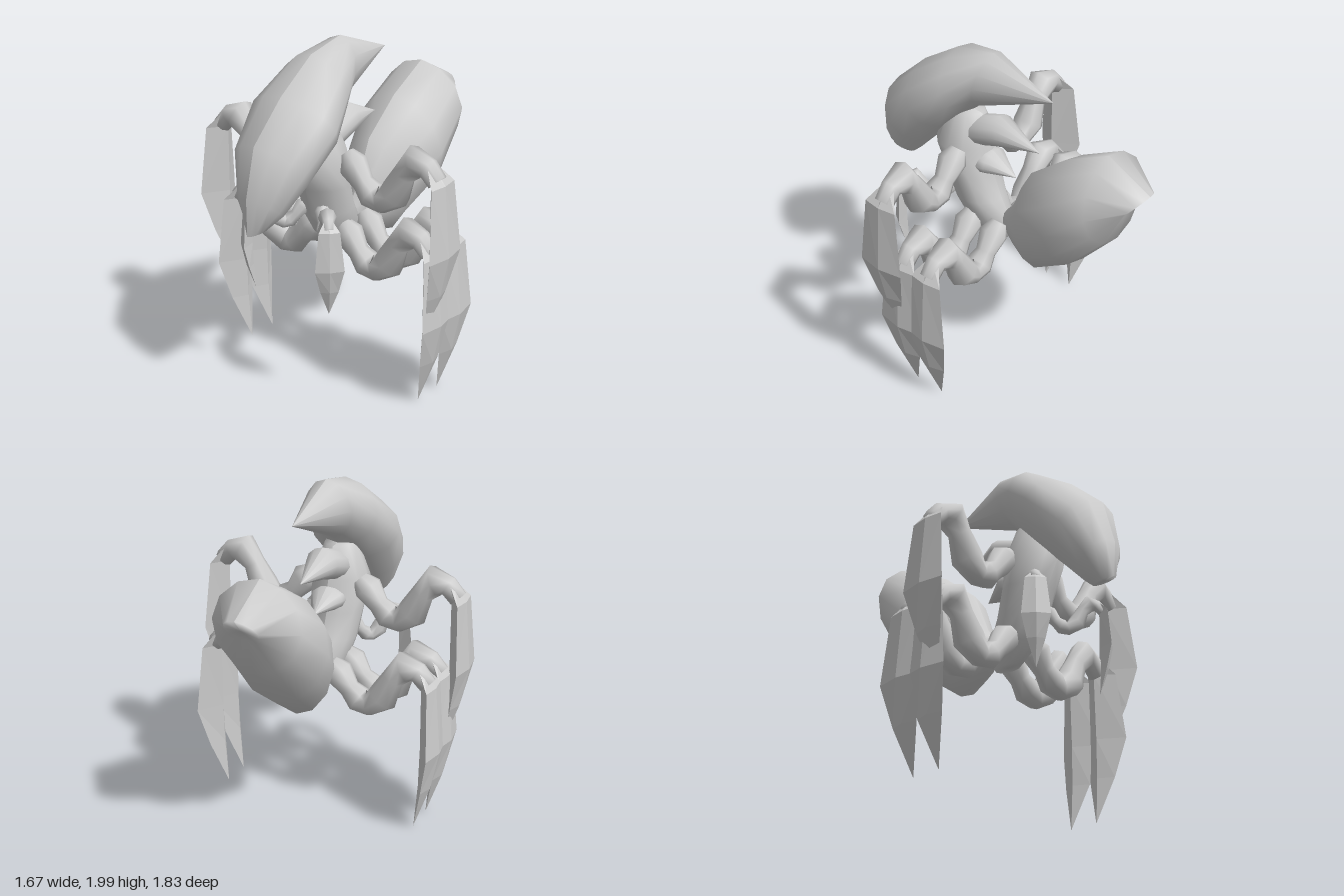
import * as THREE from 'three';

const material = new THREE.MeshStandardMaterial({ color: 0xcccccc, side: THREE.DoubleSide });

// Skin a list of equal-length point rings; faces are turned outward by signed volume.
function skin(rings, closed, flat = false, transform = null) {
  const n = rings[0].length, pts = rings.flat().map(p => p.clone());
  if (transform) pts.forEach(p => p.applyMatrix4(transform));
  const index = [];
  for (let i = 0; i < rings.length - 1; i++) {
    for (let j = 0; j < (closed ? n : n - 1); j++) {
      const a = i * n + j, b = i * n + (j + 1) % n;
      index.push(a, b, b + n, a, b + n, a + n);
    }
  }
  let volume = 0;
  const origin = new THREE.Vector3(0, pts[0].y, pts[0].z);
  const rel = pts.map(p => p.clone().sub(origin));
  for (let k = 0; k < index.length; k += 3) {
    volume += rel[index[k]].dot(rel[index[k + 1]].clone().cross(rel[index[k + 2]]));
  }
  if (volume < 0) index.reverse();
  let geo = new THREE.BufferGeometry().setFromPoints(pts);
  geo.setIndex(index);
  if (flat) geo = geo.toNonIndexed();
  geo.computeVertexNormals();
  return geo;
}

const collapse = ring => {
  const c = ring.reduce((s, p) => s.add(p), new THREE.Vector3()).divideScalar(ring.length);
  return ring.map(() => c.clone());
};

function addMesh(parent, name, geometry) {
  const mesh = new THREE.Mesh(geometry, material);
  mesh.name = name;
  parent.add(mesh);
}

// Body shell from [topZ, topY, bottomZ, bottomY, halfWidth]; two halves keep the centre ridge sharp.
function shell(parent, name, stations) {
  const group = new THREE.Group();
  group.name = name;
  for (const side of [1, -1]) {
    const rings = stations.map(([tz, ty, bz, by, w]) => {
      const ring = [];
      for (let j = 0; j <= 6; j++) {
        const a = j * Math.PI / 6, t = (1 - Math.cos(a)) / 2;
        const x = j % 6 ? side * w * Math.sin(a) ** 1.1 : 0;
        ring.push(new THREE.Vector3(x, ty + (by - ty) * t, tz + (bz - tz) * t));
      }
      return ring;
    });
    const end = r => {
      const c = r[0].clone().lerp(r[6], 0.5);
      return r.map(() => c.clone());
    };
    rings.unshift(end(rings[0]));
    rings.push(end(rings[rings.length - 1]));
    addMesh(group, name + (side > 0 ? 'Left' : 'Right'), skin(rings, false));
  }
  parent.add(group);
}

// Knobbly limb: [x, y, radius]
const LIMB = [
  [0.08, 0.95, 0.05], [0.13, 0.90, 0.085], [0.20, 0.81, 0.06], [0.26, 0.755, 0.08],
  [0.32, 0.73, 0.065], [0.41, 0.80, 0.09], [0.47, 0.93, 0.065], [0.54, 1.015, 0.09],
  [0.62, 0.995, 0.06], [0.68, 0.93, 0.055],
];
// Blade: [y, innerX, edgeX, outerX, half depth]
const BLADE = [
  [1.03, 0.61, 0.63, 0.65, 0.03], [0.92, 0.64, 0.715, 0.73, 0.105],
  [0.52, 0.645, 0.74, 0.765, 0.145], [0.28, 0.64, 0.69, 0.715, 0.09],
  [0.01, 0.62, 0.62, 0.62, 0.001],
];

function leg(parent, name, side, [x, y, z], scale = 1, yaw = 0) {
  const group = new THREE.Group();
  group.name = name;
  const transform = new THREE.Matrix4().makeScale(side, 1, 1)
    .multiply(new THREE.Matrix4().makeTranslation(x, y, z))
    .multiply(new THREE.Matrix4().makeRotationY(yaw))
    .multiply(new THREE.Matrix4().makeScale(scale, scale, scale));
  const rings = LIMB.map(([px, py, r], i) => {
    const a = LIMB[Math.max(0, i - 1)], b = LIMB[Math.min(LIMB.length - 1, i + 1)];
    const len = Math.hypot(b[0] - a[0], b[1] - a[1]);
    const nx = -(b[1] - a[1]) / len, ny = (b[0] - a[0]) / len;
    return Array.from({ length: 8 }, (_, j) => {
      const t = j * Math.PI / 4, c = r * Math.cos(t);
      return new THREE.Vector3(px + nx * c, py + ny * c, r * Math.sin(t));
    });
  });
  rings.unshift(collapse(rings[0]));
  rings.push(collapse(rings[rings.length - 1]));
  addMesh(group, 'limb', skin(rings, true, false, transform));

  const blade = BLADE.map(([by, xi, xe, xo, d]) => [
    new THREE.Vector3(xi, by, 0), new THREE.Vector3(xe, by, d),
    new THREE.Vector3(xo, by, 0), new THREE.Vector3(xe, by, -d),
  ]);
  blade.unshift(collapse(blade[0]));
  addMesh(group, 'blade', skin(blade, true, true, transform));
  parent.add(group);
}

export function createModel() {
  const model = new THREE.Group();
  model.name = 'creature';

  // Long swept-back head crest
  shell(model, 'head', [
    [-0.27, 1.85, -0.27, 1.845, 0.002], [0.13, 2.0, 0.22, 1.64, 0.14],
    [0.38, 1.95, 0.3, 1.57, 0.22], [0.63, 1.78, 0.41, 1.45, 0.28],
    [0.85, 1.57, 0.59, 1.26, 0.225], [0.92, 1.3, 0.7, 1.14, 0.13],
    [0.92, 1.09, 0.76, 1.085, 0.025],
  ]);

  // Upright torso, front to back
  shell(model, 'torso', [
    [0.44, 1.6, 0.22, 1.58, 0.09], [0.52, 1.36, 0.16, 1.4, 0.17],
    [0.44, 1.2, 0.14, 1.2, 0.16], [0.4, 1.03, 0.08, 1.05, 0.14],
    [0.33, 0.9, 0.0, 0.9, 0.11], [0.22, 0.79, 0.04, 0.79, 0.05],
  ]);

  // Back spines
  shell(model, 'upperSpine', [
    [0.35, 1.52, 0.33, 1.34, 0.1], [0.09, 1.615, 0.08, 1.43, 0.1],
    [-0.18, 1.49, -0.18, 1.485, 0.002],
  ]);
  shell(model, 'lowerSpine', [
    [0.28, 1.36, 0.28, 1.18, 0.1], [0.14, 1.36, 0.14, 1.22, 0.1],
    [-0.02, 1.25, -0.02, 1.245, 0.002],
  ]);

  // Swollen raised abdomen
  shell(model, 'abdomen', [
    [0.06, 0.97, 0.04, 0.86, 0.04], [-0.02, 1.07, -0.08, 0.775, 0.1],
    [-0.13, 1.33, -0.24, 0.725, 0.21], [-0.37, 1.53, -0.5, 0.91, 0.3],
    [-0.64, 1.675, -0.72, 1.17, 0.27], [-0.91, 1.535, -0.78, 1.38, 0.1],
  ]);

  // Limbs, mirrored
  for (const side of [1, -1]) {
    const tag = side > 0 ? 'Left' : 'Right';
    leg(model, 'upperArm' + tag, side, [0.07, 0.445, 0.275]);
    leg(model, 'frontLeg' + tag, side, [0, 0, 0.225]);
    leg(model, 'backLeg' + tag, side, [0, 0, 0.04]);
    leg(model, 'smallForearm' + tag, side, [0.02, 0.575, 0.33], 0.55, -Math.PI / 4);
  }
  return model;
}
